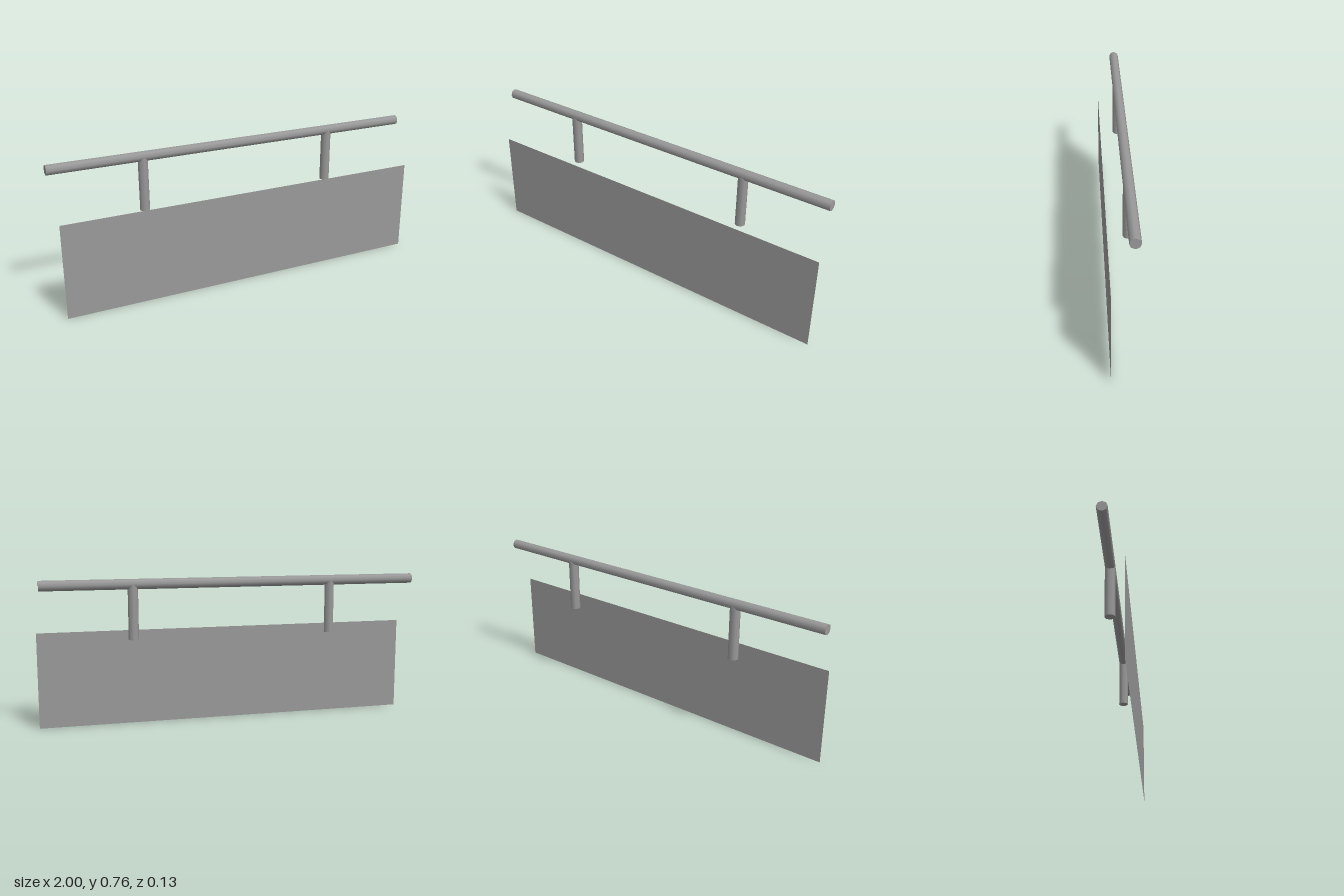
import * as THREE from 'three';

export function createModel() {
  const model = new THREE.Group();
  const grey = new THREE.MeshStandardMaterial({ color: 0x999999, side: THREE.DoubleSide });
  grey.name = 'grey';

  const radius = 0.026, barY = 0.734, barZ = -0.037;

  const add = (name, geometry, x, y, z) => {
    const mesh = new THREE.Mesh(geometry, grey);
    mesh.name = name;
    mesh.position.set(x, y, z);
    model.add(mesh);
  };

  // Eight-sided pipe with smooth sides
  const pipe = (length) => new THREE.CylinderGeometry(radius, radius, length, 8);

  // Thin flat panel standing in front of the bar
  add('panel', new THREE.PlaneGeometry(1.98, 0.49), 0.01, 0.245, 0.063);

  // Long horizontal handle bar
  add('handleBar', pipe(1.983).rotateZ(Math.PI / 2), -0.0085, barY, barZ);

  // Two posts running from the bar's axis down behind the panel
  const postBottom = 0.455, postLength = barY - postBottom;
  for (const [name, side] of [['rightPost', -1], ['leftPost', 1]]) {
    add(name, pipe(postLength), side * 0.525, postBottom + postLength / 2, barZ);
  }

  return model;
}
